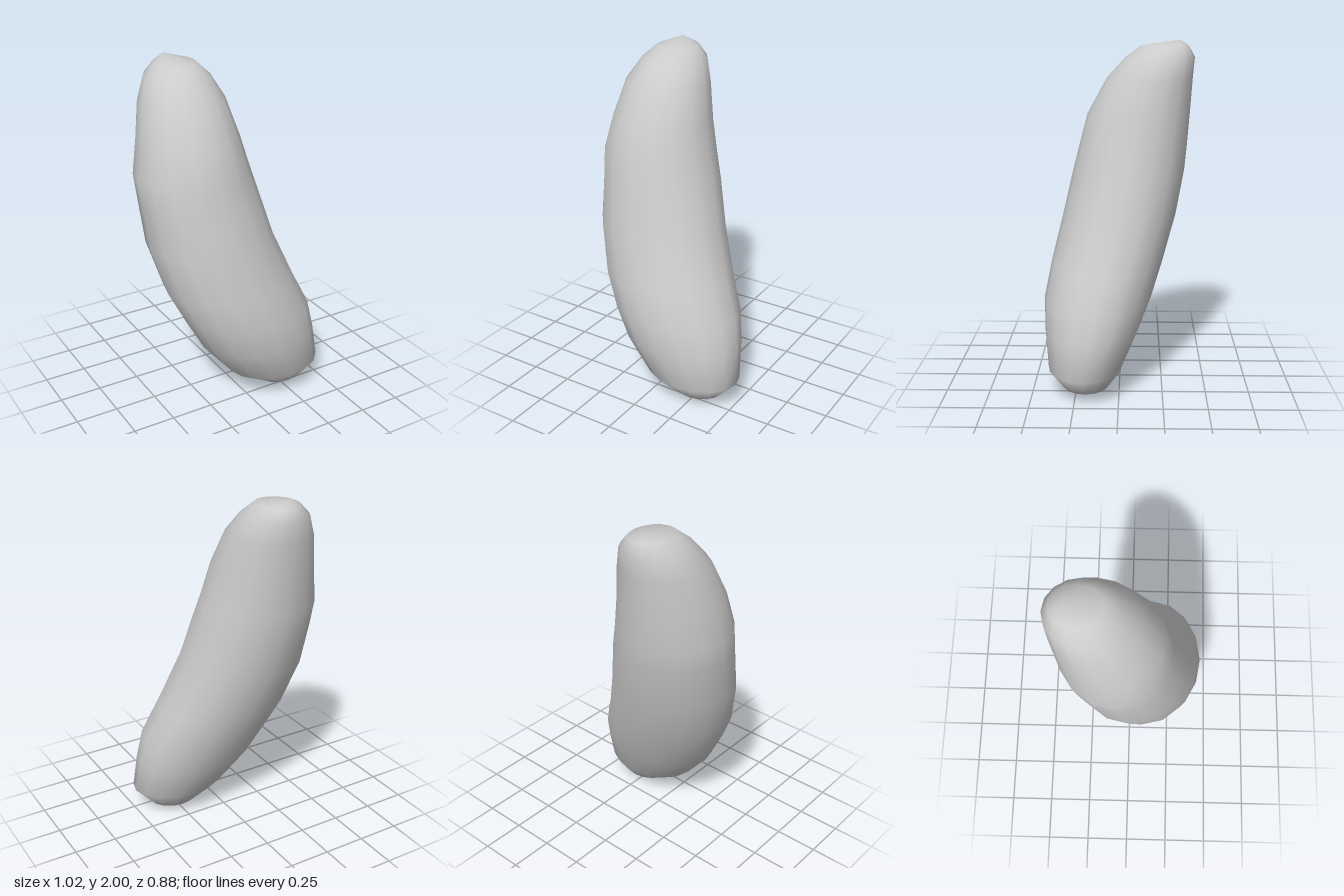
import * as THREE from 'three';

const SIDES = 16;

// Cross-sections from bottom to top: [y, xMin, xMax, zMin, zMax]
const SECTIONS = [
  [0.0, 0.24, 0.24, 0.17, 0.17],
  [0.045, 0.11, 0.41, 0.06, 0.32],
  [0.15, -0.07, 0.51, -0.02, 0.41],
  [0.35, -0.24, 0.49, -0.115, 0.435],
  [0.52, -0.33, 0.46, -0.185, 0.44],
  [0.71, -0.42, 0.375, -0.25, 0.405],
  [0.98, -0.49, 0.27, -0.33, 0.34],
  [1.24, -0.505, 0.2, -0.38, 0.28],
  [1.38, -0.515, 0.16, -0.395, 0.245],
  [1.57, -0.475, 0.11, -0.41, 0.195],
  [1.78, -0.43, 0.06, -0.425, 0.08],
  [1.9, -0.365, 0.005, -0.435, -0.03],
  [1.965, -0.295, -0.06, -0.4, -0.115],
  [2.0, -0.2, -0.2, -0.35, -0.35],
];

// Closed skin through elliptical rings, with a single point at each end
function skin(sections) {
  const positions = [];
  const index = [];
  const last = sections.length - 1;
  const start = (i) => (i === 0 ? 0 : 1 + (i - 1) * SIDES);

  sections.forEach(([y, x0, x1, z0, z1], i) => {
    const count = i === 0 || i === last ? 1 : SIDES;
    for (let k = 0; k < count; k++) {
      const a = (k / SIDES) * Math.PI * 2;
      positions.push(
        (x0 + x1) / 2 + ((x1 - x0) / 2) * Math.cos(a),
        y,
        (z0 + z1) / 2 + ((z1 - z0) / 2) * Math.sin(a)
      );
    }
  });

  for (let i = 0; i < last; i++) {
    for (let k = 0; k < SIDES; k++) {
      const n = (k + 1) % SIDES;
      const a = start(i) + (i === 0 ? 0 : k);
      const b = start(i) + (i === 0 ? 0 : n);
      const c = start(i + 1) + (i + 1 === last ? 0 : k);
      const d = start(i + 1) + (i + 1 === last ? 0 : n);
      if (i > 0) index.push(a, c, b);
      if (i + 1 < last) index.push(b, c, d);
      else if (i === 0) index.push(a, c, d);
    }
  }

  const geometry = new THREE.BufferGeometry();
  geometry.setAttribute('position', new THREE.Float32BufferAttribute(positions, 3));
  geometry.setIndex(index);
  geometry.computeVertexNormals();
  return geometry;
}

export function createModel() {
  const group = new THREE.Group();
  group.name = 'bean';
  // Smooth, leaning bean body
  const body = new THREE.Mesh(skin(SECTIONS), new THREE.MeshStandardMaterial({ color: 0xcccccc }));
  body.name = 'beanBody';
  group.add(body);
  return group;
}
